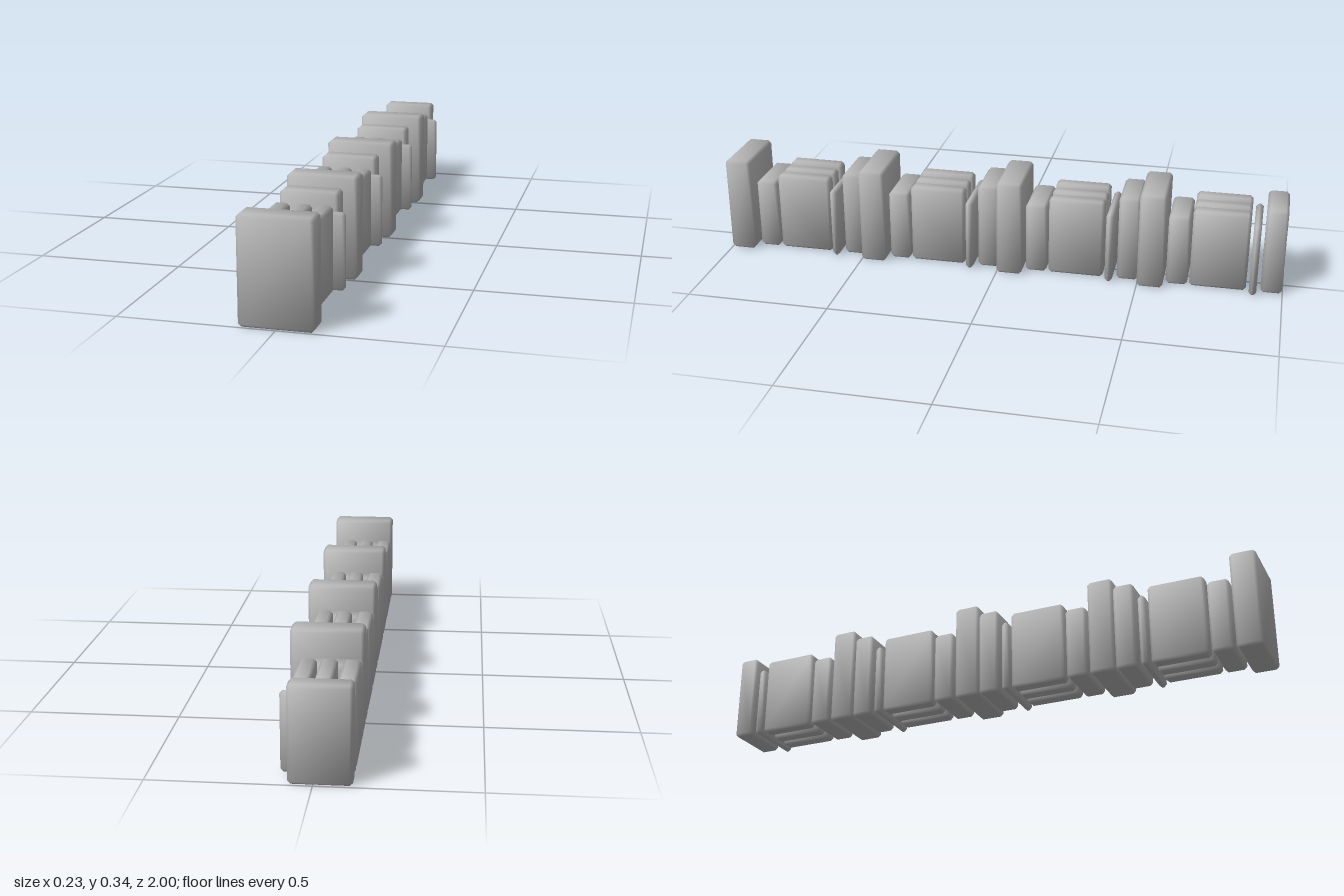
import * as THREE from 'three';
import { ConvexGeometry } from 'three/addons/geometries/ConvexGeometry.js';

const BEVEL = 0.01;

// Box with chamfered edges and softly blended normals.
function bevelledBox(w, h, d) {
  const half = [w / 2, h / 2, d / 2];
  const points = [];
  for (const sx of [-1, 1]) for (const sy of [-1, 1]) for (const sz of [-1, 1]) {
    for (let axis = 0; axis < 3; axis++) {
      const c = half.map((v, i) => (i === axis ? v : v - BEVEL));
      points.push(new THREE.Vector3(sx * c[0], sy * c[1], sz * c[2]));
    }
  }
  const geometry = new ConvexGeometry(points);
  const pos = geometry.attributes.position;
  const normal = geometry.attributes.normal;
  const n = new THREE.Vector3();
  for (let i = 0; i < pos.count; i++) {
    const p = [pos.getX(i), pos.getY(i), pos.getZ(i)];
    // each corner leans from its main face towards the neighbouring chamfers
    const lean = p.map((v, k) => Math.sign(v) * (Math.abs(v) > half[k] - 1e-4 ? 1 : 0.39));
    n.fromArray(lean).normalize();
    normal.setXYZ(i, n.x, n.y, n.z);
  }
  return geometry;
}

export function createModel() {
  const model = new THREE.Group();
  model.name = 'blockWall';
  const stone = new THREE.MeshStandardMaterial({ color: 0xb4b4b4 });
  stone.name = 'stone grey';

  // One repeat of the wall: name, x from, x to, height, z front, z back
  const parts = [
    ['tallPier', -0.118, 0.117, 0.345, 1.0, 0.91],
    ['lowBlock', -0.118, 0.075, 0.257, 0.902, 0.828],
    ['rightSlab', -0.118, -0.064, 0.285, 0.82, 0.625],
    ['middleSlab', -0.045, 0.008, 0.285, 0.82, 0.625],
    ['leftSlab', 0.02, 0.075, 0.285, 0.82, 0.625],
    ['thinPanel', -0.118, 0.107, 0.257, 0.614, 0.588],
    ['endBlock', -0.118, 0.075, 0.31, 0.575, 0.502],
  ].map(([name, x0, x1, h, z0, z1]) => ({
    name, geometry: bevelledBox(x1 - x0, h, z0 - z1),
    x: (x0 + x1) / 2, y: h / 2, z: (z0 + z1) / 2,
  }));

  // Four identical sections along the wall
  for (let i = 0; i < 4; i++) {
    const section = new THREE.Group();
    section.name = 'section' + (i + 1);
    section.position.z = -0.5 * i;
    for (const part of parts) {
      const mesh = new THREE.Mesh(part.geometry, stone);
      mesh.name = part.name;
      mesh.position.set(part.x, part.y, part.z);
      section.add(mesh);
    }
    model.add(section);
  }
  return model;
}
